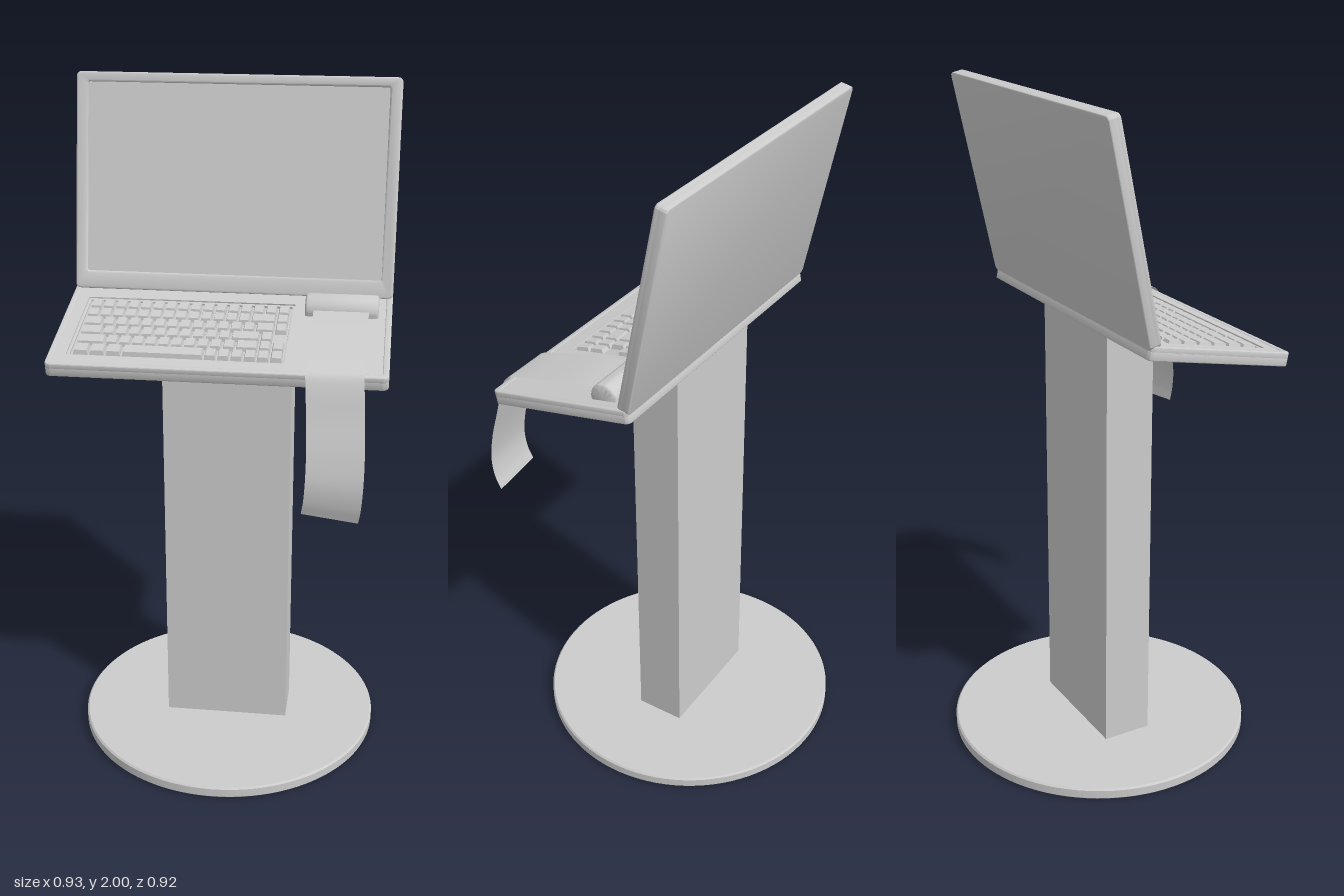
import * as THREE from 'three';
import { toCreasedNormals } from 'three/addons/utils/BufferGeometryUtils.js';

const grey = new THREE.MeshStandardMaterial({ color: 0xcccccc });
grey.name = 'light grey';
const greySheet = grey.clone();
greySheet.name = 'light grey sheet';
greySheet.side = THREE.DoubleSide;

function add(parent, name, geometry, material = grey) {
  const mesh = new THREE.Mesh(geometry, material);
  mesh.name = name;
  parent.add(mesh);
  return mesh;
}

// Rounded rectangle outline between two corners
function roundRect(path, x0, y0, x1, y1, r) {
  path.moveTo(x0 + r, y0);
  path.lineTo(x1 - r, y0);
  path.absarc(x1 - r, y0 + r, r, -Math.PI / 2, 0);
  path.lineTo(x1, y1 - r);
  path.absarc(x1 - r, y1 - r, r, 0, Math.PI / 2);
  path.lineTo(x0 + r, y1);
  path.absarc(x0 + r, y1 - r, r, Math.PI / 2, Math.PI);
  path.lineTo(x0, y0 + r);
  path.absarc(x0 + r, y0 + r, r, Math.PI, Math.PI * 1.5);
  return path;
}

// Slab of the given outline and optional opening, total thickness t, bevel b
function slab(outer, hole, t, b) {
  const shape = roundRect(new THREE.Shape(), ...outer);
  if (hole) shape.holes.push(roundRect(new THREE.Path(), ...hole));
  const g = new THREE.ExtrudeGeometry(shape, {
    depth: t - 2 * b, bevelEnabled: b > 0, bevelThickness: b, bevelSize: b,
    bevelOffset: -b, bevelSegments: 3, curveSegments: 6,
  });
  g.translate(0, 0, b);
  return toCreasedNormals(g, 0.7);
}

// Key cap: a box whose top is drawn in
function keyCap(w, h, d, inset) {
  const g = new THREE.BoxGeometry(w, h, d);
  const p = g.attributes.position;
  for (let i = 0; i < p.count; i++) {
    if (p.getY(i) < 0) continue;
    p.setX(i, p.getX(i) - Math.sign(p.getX(i)) * inset);
    p.setZ(i, p.getZ(i) - Math.sign(p.getZ(i)) * inset);
  }
  g.computeVertexNormals();
  return g;
}

function lathe(points, segments) {
  const g = new THREE.LatheGeometry(points.map(([x, y]) => new THREE.Vector2(x, y)), segments);
  return toCreasedNormals(g, 0.6);
}

const ones = (n) => Array(n).fill(1);
const KEY_ROWS = [
  ones(16),
  [...ones(13), 2, 1],
  [1.5, ...ones(12), 1.5, 1],
  [1.75, ...ones(10), 2.25, 1],
  [2.25, ...ones(10), 1.75, 1, 1],
  [1.25, 1.25, 1.25, 6.25, ...ones(6)],
];

function buildKeyboard() {
  const keys = new THREE.Group();
  keys.name = 'keyboard';
  const unit = 0.0362, pitch = 0.049;
  KEY_ROWS.forEach((row, r) => {
    let x = -0.402;
    for (const u of row) {
      const w = u * unit;
      const key = add(keys, u > 5 ? 'spaceBar' : 'key', keyCap(w - 0.003, 0.014, 0.045, 0.004));
      key.position.set(x + w / 2, -0.006, 0.116 + r * pitch);
      x += w;
    }
  });
  return keys;
}

// Deck: origin on the rear top edge, z runs to the front edge
function buildDeck() {
  const deck = new THREE.Group();
  deck.name = 'deck';
  const L = 0.456;
  const flat = (g, y) => g.rotateX(-Math.PI / 2).translate(0, y, 0);
  add(deck, 'deckBottom', flat(slab([-0.465, -L, 0.465, 0, 0.016], null, 0.028, 0.003), -0.04));
  add(deck, 'deckRim', flat(slab([-0.465, -L, 0.465, 0, 0.016],
    [-0.447, -L + 0.018, 0.447, -0.018, 0.004], 0.02, 0.003), -0.02));
  add(deck, 'deckPanel', flat(slab([-0.448, -L + 0.017, 0.448, -0.017, 0.004],
    [-0.415, -0.4, 0.188, -0.081, 0.004], 0.013, 0), -0.015));
  add(deck, 'keyboardFrame', flat(slab([-0.416, -0.401, 0.189, -0.08, 0.004],
    [-0.407, -0.392, 0.18, -0.089, 0.003], 0.008, 0.001), -0.014));
  deck.add(buildKeyboard());

  // Paper roll cover, half sunk in the deck
  const r = 0.043, h = 0.104, f = 0.01;
  const profile = [[0, -h]];
  for (let i = 0; i <= 4; i++) {
    const a = (i / 4) * Math.PI / 2;
    profile.push([r - f + f * Math.sin(a), -h + f - f * Math.cos(a)]);
  }
  profile.push(...profile.slice().reverse().map(([x, y]) => [x, -y]));
  const roll = add(deck, 'paperRoll', lathe(profile, 40));
  roll.rotation.z = Math.PI / 2;
  roll.position.set(0.323, 0.001, 0.102);

  deck.position.set(0, 1.399, -0.104);
  deck.rotation.x = 0.2;
  return deck;
}

// Screen lid: origin on the rear bottom edge, leaning back
function buildScreen() {
  const screen = new THREE.Group();
  screen.name = 'screen';
  const outer = [-0.465, 0, 0.465, 0.62, 0.014];
  add(screen, 'screenBack', slab(outer, null, 0.026, 0.003));
  const bezel = add(screen, 'screenBezel', slab(outer, [-0.43, 0.052, 0.43, 0.592, 0.004], 0.019, 0.005));
  bezel.position.z = 0.018;
  const panel = add(screen, 'displayPanel', new THREE.BoxGeometry(0.862, 0.542, 0.006));
  panel.position.set(0, 0.322, 0.027);
  screen.position.set(0, 1.385, -0.108);
  screen.rotation.x = -0.208;
  return screen;
}

// Paper strip lying over the deck, then hanging and curling inward
function buildPaper() {
  const path = new THREE.CatmullRomCurve3([
    [0.322, 1.388, 0.03], [0.322, 1.375, 0.12], [0.322, 1.352, 0.22], [0.322, 1.326, 0.315],
    [0.322, 1.313, 0.345], [0.324, 1.285, 0.36], [0.329, 1.2, 0.382], [0.333, 1.1, 0.408],
    [0.332, 1.02, 0.42], [0.328, 0.96, 0.415], [0.322, 0.918, 0.403],
  ].map((p) => new THREE.Vector3(...p)));
  const n = 48;
  const g = new THREE.PlaneGeometry(1, 1, 1, n);
  const pos = g.attributes.position;
  for (let i = 0; i <= n; i++) {
    const c = path.getPoint(i / n);
    const twist = 0.01 * Math.max(0, (i / n - 0.5) * 2);
    for (let s = 0; s < 2; s++) {
      const side = s * 2 - 1;
      pos.setXYZ(i * 2 + s, c.x + side * 0.078, c.y - side * twist, c.z);
    }
  }
  g.computeVertexNormals();
  const mesh = new THREE.Mesh(g, greySheet);
  mesh.name = 'paperStrip';
  return mesh;
}

export function createModel() {
  const model = new THREE.Group();
  model.name = 'terminal';

  // Round floor plate with softened rims
  add(model, 'basePlate', lathe([[0, 0.001], [0.455, 0.001], [0.459, 0.005],
    [0.459, 0.03], [0.454, 0.035], [0, 0.035]], 96));

  // Slotted screw head under the plate
  for (const turn of [0, Math.PI]) {
    const half = new THREE.CylinderGeometry(0.07, 0.07, 0.002, 32, 1, false, turn, Math.PI);
    const mesh = add(model, 'screwHalf', half);
    mesh.position.set(turn ? -0.004 : 0.004, 0.001, 0);
  }

  // Column, its top cut to the slope of the deck
  const column = new THREE.BoxGeometry(0.376, 1, 0.15);
  const p = column.attributes.position;
  for (let i = 0; i < p.count; i++) {
    const z = p.getZ(i) - 0.005;
    p.setZ(i, z);
    p.setY(i, p.getY(i) < 0 ? 0.03 : 1.345 - 0.2 * z);
  }
  column.computeVertexNormals();
  add(model, 'column', column);

  model.add(buildDeck(), buildScreen(), buildPaper());
  return model;
}
